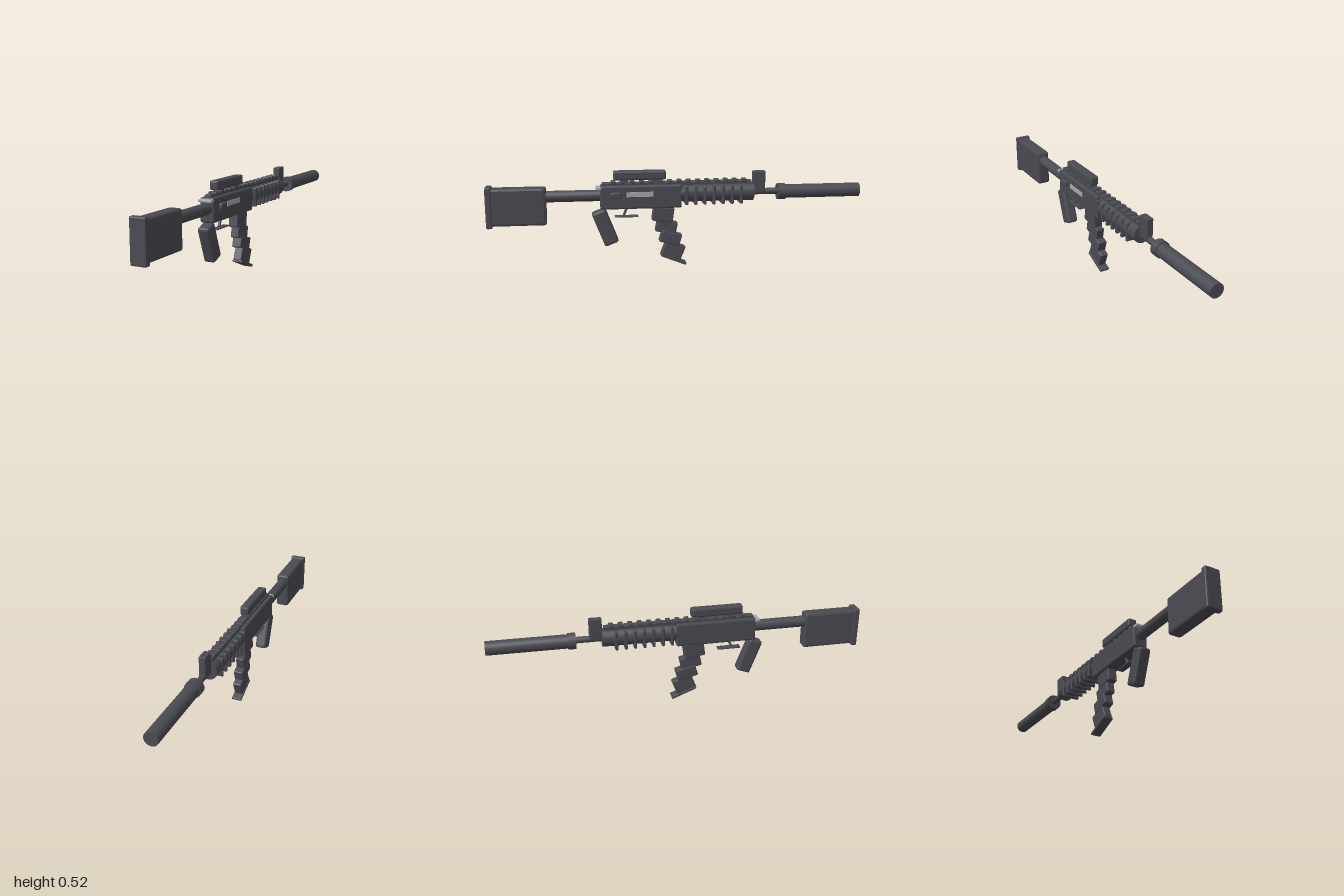
import * as THREE from 'three';
import { RoundedBoxGeometry } from 'three/addons/geometries/RoundedBoxGeometry.js';

export function createModel() {
  const model = new THREE.Group();
  model.name = 'rifle';
  // everything is mirrored about this slightly offset plane
  const X = -0.0035;

  const gunmetal = new THREE.MeshStandardMaterial({ color: 0x4a4a52 });
  gunmetal.name = 'gunmetal';
  const steel = new THREE.MeshStandardMaterial({ color: 0xa4a8ae });
  steel.name = 'steel';

  const add = (name, geometry, x, y, z, tilt = 0, material = gunmetal) => {
    const mesh = new THREE.Mesh(geometry, material);
    mesh.name = name;
    mesh.position.set(x, y, z);
    mesh.rotation.x = tilt;
    model.add(mesh);
    return mesh;
  };

  // box with chamfered edges and flat faces
  const block = (w, h, d, bevel) => {
    const g = new RoundedBoxGeometry(w, h, d, 1, bevel);
    g.computeVertexNormals();
    return g;
  };

  // chamfered box given by its y and z ranges
  const span = (name, w, y0, y1, z0, z1, bevel = 0.005, material = gunmetal) =>
    add(name, block(w, y1 - y0, z1 - z0, bevel), X, (y0 + y1) / 2, (z0 + z1) / 2, 0, material);

  // round part lying along z
  const tube = (name, r, y, z0, z1, sides = 32) =>
    add(name, new THREE.CylinderGeometry(r, r, z1 - z0, sides).rotateX(Math.PI / 2), X, y, (z0 + z1) / 2);

  // stock
  span('stock', 0.072, 0.244, 0.442, 0.69, 0.985, 0.012);
  span('buttPlate', 0.084, 0.234, 0.45, 0.968, 1.0, 0.007);
  tube('stockTube', 0.03, 0.391, 0.4, 0.7);

  // receiver and its fittings
  span('receiver', 0.076, 0.32, 0.445, -0.02, 0.41, 0.008);
  span('chargingHandle', 0.074, 0.424, 0.439, 0.395, 0.432, 0.004, steel);
  add('ejectionPort', new THREE.BoxGeometry(0.006, 0.026, 0.14), X + 0.038, 0.398, 0.202, 0, steel);
  add('sideButton', block(0.026, 0.03, 0.054, 0.006), 0.04, 0.397, 0.328);

  // top rail with teeth
  span('rail', 0.036, 0.435, 0.459, -0.4, 0.4, 0.004);
  for (let i = 0; i < 15; i++) {
    const z = 0.34 - i * 0.05;
    span('railTooth', 0.046, 0.452, 0.467, z - 0.012, z + 0.012, 0.003);
  }
  span('sight', 0.048, 0.471, 0.52, 0.062, 0.34, 0.009);
  for (const z of [0.12, 0.28]) span('sightMount', 0.032, 0.455, 0.48, z - 0.02, z + 0.02, 0.003);

  // handguard with cooling ribs
  tube('handguard', 0.048, 0.395, -0.41, -0.028);
  tube('handguardNeck', 0.04, 0.393, -0.04, -0.01);
  for (let i = 0; i < 7; i++) {
    const z = -0.045 - i * 0.049;
    span('handguardRib', 0.102, 0.336, 0.438, z - 0.008, z + 0.008, 0.005);
  }

  // muzzle end
  span('frontSight', 0.036, 0.395, 0.505, -0.475, -0.408, 0.004);
  tube('barrel', 0.017, 0.393, -0.56, -0.4, 24);
  tube('suppressorCollar', 0.043, 0.39, -0.586, -0.545);
  tube('suppressor', 0.037, 0.39, -1.0, -0.58);

  // grip and trigger
  add('pistolGrip', block(0.062, 0.195, 0.078, 0.012), X, 0.22, 0.386, 0.37);
  add('trigger', block(0.014, 0.05, 0.012, 0.003), X, 0.304, 0.277, -0.4);
  add('triggerGuard', block(0.036, 0.007, 0.125, 0.002), X, 0.275, 0.272);

  // curved magazine made of stacked, increasingly tilted blocks
  const segments = [
    [0.284, 0.078, -0.13, 0.08],
    [0.214, 0.06, -0.2, 0.068],
    [0.152, 0.038, -0.28, 0.066],
    [0.082, 0.024, -0.38, 0.085],
  ];
  segments.forEach(([y, z, tilt, h], i) =>
    add('magazineSegment', block(i % 2 ? 0.046 : 0.052, h, 0.112, 0.006), X, y, z, tilt));
  add('magazineBase', block(0.054, 0.014, 0.145, 0.003), X, 0.034, 0.022, -0.38);

  return model;
}
